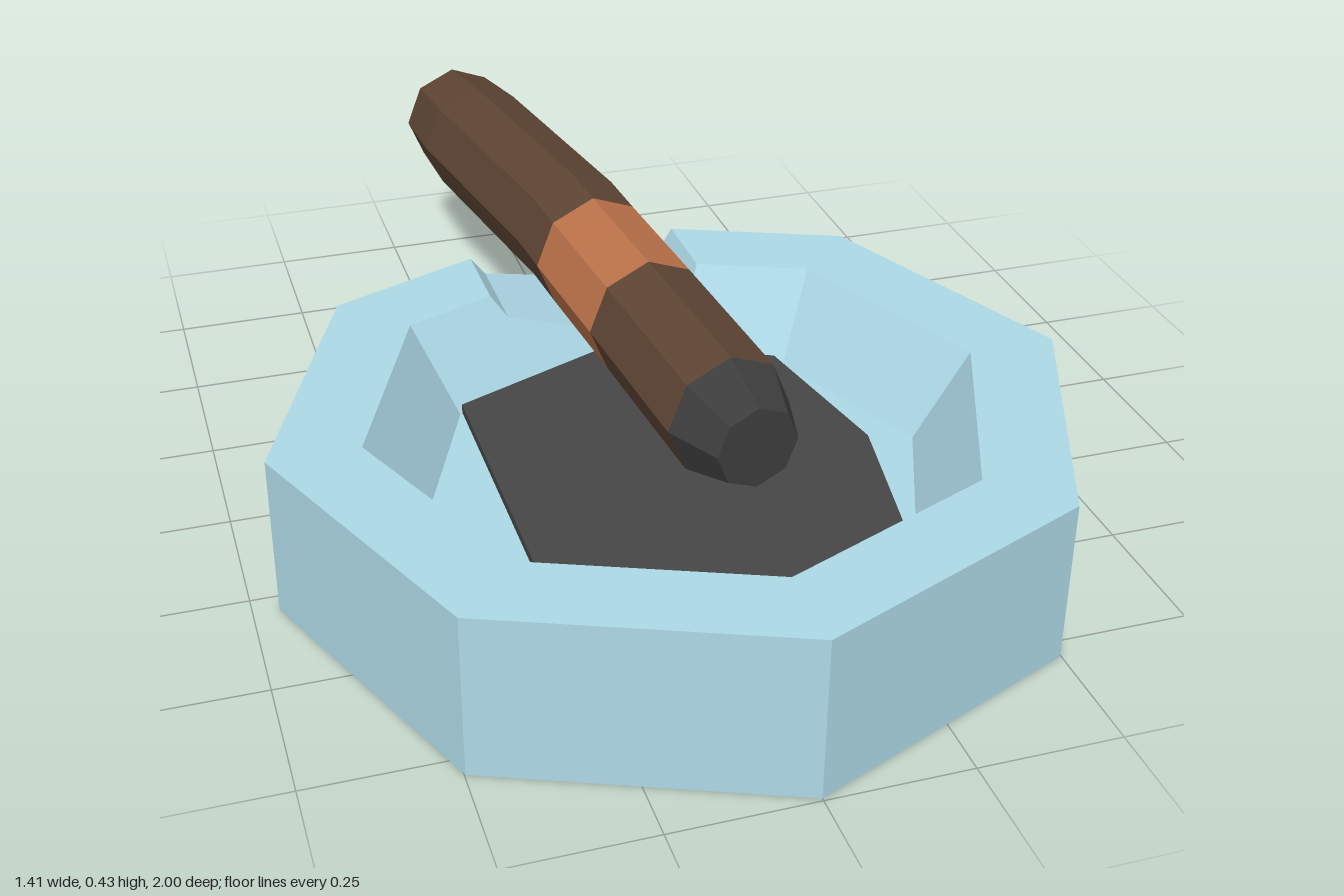
import * as THREE from 'three';

const TOP = 0.295, FLOOR = 0.135, CENTRE_Z = 0.29;
const SLOPE = Math.tan(Math.PI / 8);

// Joins loops of [x, y, z] points into a faceted skin, with optional end caps
function skin(name, color, rings, capFirst = true, capLast = true) {
  const n = rings[0].length, index = [];
  for (let r = 0; r < rings.length - 1; r++) {
    for (let j = 0; j < n; j++) {
      const a = r * n + j, b = r * n + (j + 1) % n;
      index.push(a, b, b + n, a, b + n, a + n);
    }
  }
  const last = (rings.length - 1) * n;
  for (let j = 1; j < n - 1; j++) {
    if (capFirst) index.push(0, j + 1, j);
    if (capLast) index.push(last, last + j, last + j + 1);
  }
  const indexed = new THREE.BufferGeometry();
  indexed.setAttribute('position', new THREE.Float32BufferAttribute(rings.flat(2), 3));
  indexed.setIndex(index);
  const geometry = indexed.toNonIndexed();
  geometry.computeVertexNormals();
  const mesh = new THREE.Mesh(geometry, new THREE.MeshStandardMaterial({ color, flatShading: true }));
  mesh.name = name;
  return mesh;
}

// Octagonal bowl; the back corner is split into columns that dip to form the rest
function bowl() {
  const notch = [[0.19, TOP], [0.17, 0.253], [0, 0.18], [-0.19, 0.253], [-0.22, TOP]];
  const ring = (radiusAt, heightAt) => {
    const points = [];
    for (let k = 0; k < 8; k++) {
      if (k === 4) {
        for (const [x, rim] of notch) {
          const y = heightAt(rim);
          points.push([x, y, CENTRE_Z - radiusAt(y) + SLOPE * Math.abs(x)]);
        }
      } else {
        const a = k * Math.PI / 4, y = heightAt(TOP), r = radiusAt(y);
        points.push([r * Math.sin(a), y, CENTRE_Z + r * Math.cos(a)]);
      }
    }
    return points;
  };
  const outer = () => 0.705;
  const inner = (y) => 0.445 + 0.1 * (y - FLOOR) / (TOP - FLOOR);
  return skin('bowl', 0xadd8e6, [
    ring(outer, () => 0),
    ring(outer, (rim) => rim),
    ring(inner, (rim) => rim),
    ring(inner, () => FLOOR),
  ]);
}

// Irregular flat layer of ash on the bowl floor
function ashLayer() {
  const outline = [[0, 0.745], [0.3, 0.615], [0.36, 0.285], [0.3, -0.035],
    [0, -0.16], [-0.31, -0.03], [-0.31, 0.61]];
  const ring = (y) => outline.map(([x, z]) => [x, y, z]);
  return skin('ashLayer', 0x464646, [ring(FLOOR - 0.01), ring(0.152)]);
}

// Eight-sided roll, listed from the back end to the burnt tip: x, y, z, radius
function roll() {
  const stations = [
    [-0.103, 0.312, -0.985, 0.106],
    [-0.083, 0.312, -0.84, 0.118],
    [-0.005, 0.312, -0.36, 0.118],
    [0.008, 0.303, -0.26, 0.118],
    [0.045, 0.277, -0.025, 0.118],
    [0.09, 0.247, 0.3, 0.118],
    [0.11, 0.235, 0.392, 0.078],
  ];
  const rings = stations.map(([x, y, z, r]) => Array.from({ length: 8 }, (_, j) => {
    const a = j * Math.PI / 4, side = r * Math.cos(a);
    return [x + side * 0.989, y + r * Math.sin(a), z - side * 0.15];
  }));
  const group = new THREE.Group();
  group.name = 'cigar';
  group.add(
    skin('cigarBack', 0x5c4433, rings.slice(0, 4), true, false),
    skin('cigarBand', 0xb87048, rings.slice(3, 5), false, false),
    skin('cigarFront', 0x5c4433, rings.slice(4, 6), false, false),
    skin('burntTip', 0x3c3c3c, rings.slice(5, 7), false, true),
  );
  return group;
}

export function createModel() {
  const model = new THREE.Group();
  model.name = 'ashtray';
  model.add(bowl(), ashLayer(), roll());
  return model;
}
